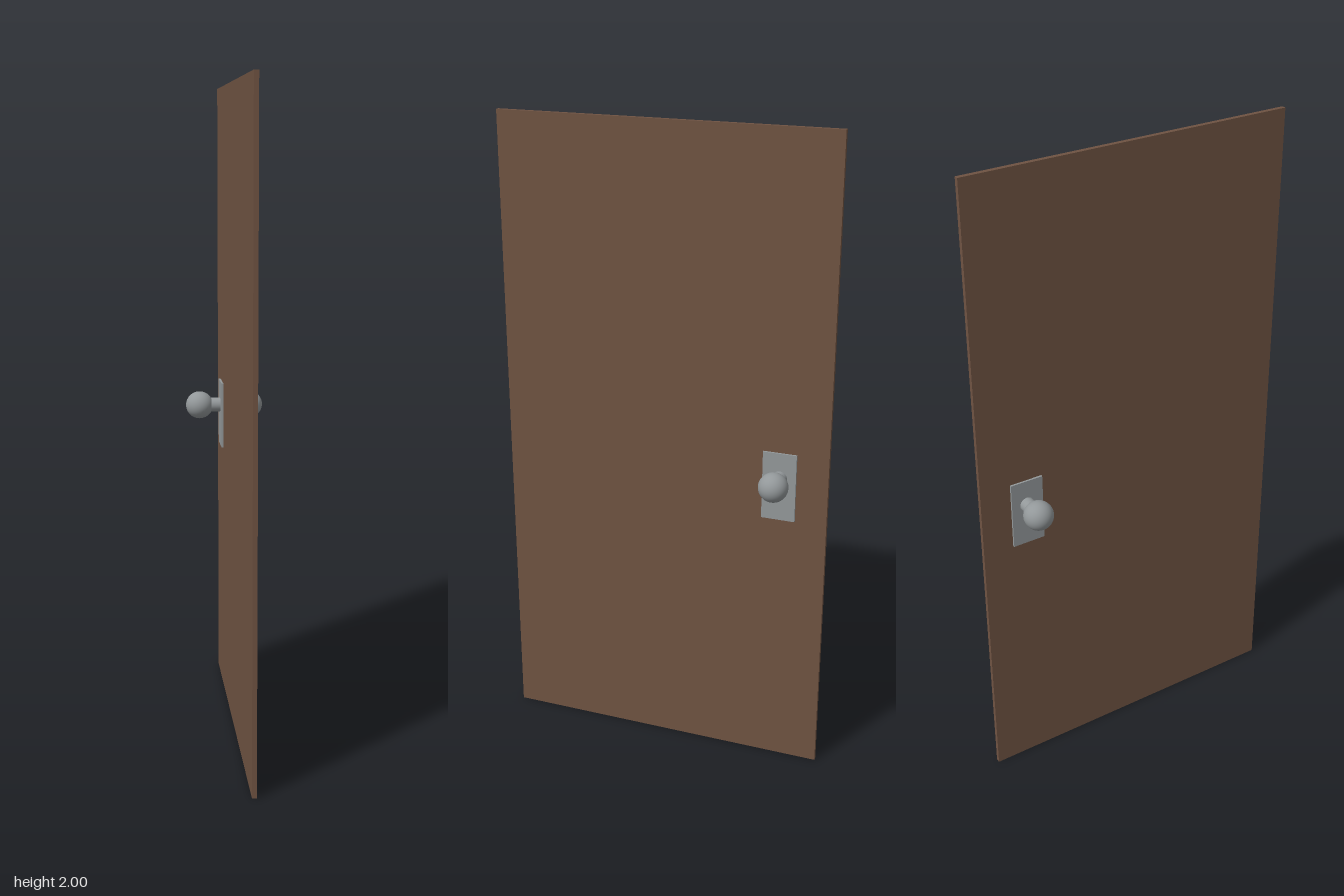
import * as THREE from 'three';

export function createModel() {
  const door = new THREE.Group();
  door.name = 'door';
  const wood = new THREE.MeshStandardMaterial({ color: 0x6f5342 });
  wood.name = 'brown wood';
  const metal = new THREE.MeshStandardMaterial({ color: 0x93989a });
  metal.name = 'grey metal';

  const add = (parent, name, geometry, material, x, y, z) => {
    const mesh = new THREE.Mesh(geometry, material);
    mesh.name = name;
    mesh.position.set(x, y, z);
    parent.add(mesh);
    return mesh;
  };

  // Door leaf
  add(door, 'doorPanel', new THREE.BoxGeometry(0.014, 2, 1.036), wood, 0, 1, 0);

  // Plate, neck and round knob on each face
  const plate = new THREE.BoxGeometry(0.008, 0.215, 0.104);
  const neck = new THREE.CylinderGeometry(0.023, 0.023, 0.05, 32, 1, true).rotateZ(Math.PI / 2);
  const ball = new THREE.SphereGeometry(0.045, 32, 20).rotateZ(Math.PI / 2);
  for (const side of [-1, 1]) {
    const handle = new THREE.Group();
    handle.name = side > 0 ? 'leftHandle' : 'rightHandle';
    add(handle, 'backPlate', plate, metal, side * 0.0095, 0.942, -0.369);
    add(handle, 'knobNeck', neck, metal, side * 0.031, 0.97, -0.371);
    add(handle, 'knob', ball, metal, side * 0.082, 0.97, -0.371);
    door.add(handle);
  }
  return door;
}
